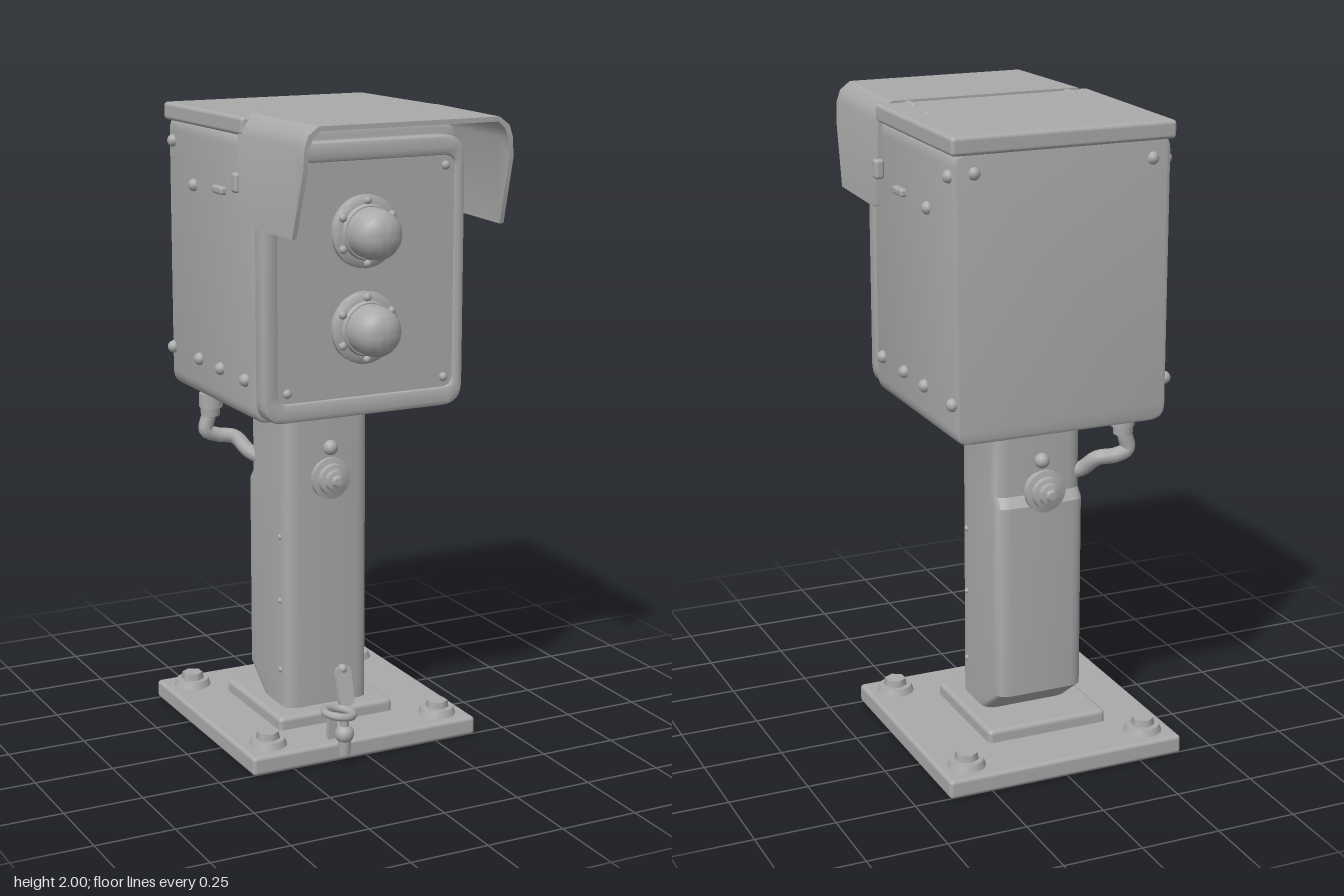
import * as THREE from 'three';
import { toCreasedNormals } from 'three/addons/utils/BufferGeometryUtils.js';
import { RoundedBoxGeometry } from 'three/addons/geometries/RoundedBoxGeometry.js';

const grey = new THREE.MeshStandardMaterial({ color: 0xaaaaaa });
grey.name = 'grey metal';

function add(parent, name, geometry, x = 0, y = 0, z = 0) {
  const mesh = new THREE.Mesh(geometry, grey);
  mesh.name = name;
  mesh.position.set(x, y, z);
  parent.add(mesh);
  return mesh;
}

// Rounded box given by its limits
function block(parent, name, [x0, x1], [y0, y1], [z0, z1], r) {
  const g = new RoundedBoxGeometry(x1 - x0, y1 - y0, z1 - z0, 3, r);
  return add(parent, name, g, (x0 + x1) / 2, (y0 + y1) / 2, (z0 + z1) / 2);
}

// Rounded rectangle path
function roundRect(path, x0, x1, y0, y1, r) {
  path.moveTo(x0 + r, y0);
  path.lineTo(x1 - r, y0);
  path.quadraticCurveTo(x1, y0, x1, y0 + r);
  path.lineTo(x1, y1 - r);
  path.quadraticCurveTo(x1, y1, x1 - r, y1);
  path.lineTo(x0 + r, y1);
  path.quadraticCurveTo(x0, y1, x0, y1 - r);
  path.lineTo(x0, y0 + r);
  path.quadraticCurveTo(x0, y0, x0 + r, y0);
  return path;
}

function extrude(shape, depth, bevel = 0) {
  const g = new THREE.ExtrudeGeometry(shape, {
    depth: depth - 2 * bevel, curveSegments: 6, bevelEnabled: bevel > 0,
    bevelSize: bevel, bevelOffset: -bevel, bevelThickness: bevel, bevelSegments: 2,
  });
  g.translate(0, 0, bevel);
  return toCreasedNormals(g, 0.7);
}

// Skin between equal closed rings (counter-clockwise seen from the last ring), capped at both ends
function loft(rings) {
  const n = rings[0].length, index = [];
  for (let i = 0; i < rings.length - 1; i++) {
    for (let j = 0; j < n; j++) {
      const a = i * n + j, b = i * n + (j + 1) % n;
      index.push(a, b, b + n, a, b + n, a + n);
    }
  }
  const flat = rings[0].map(p => new THREE.Vector2(p[3], p[4]));
  const last = (rings.length - 1) * n;
  for (const [a, b, c] of THREE.ShapeUtils.triangulateShape(flat, [])) {
    index.push(c, b, a, last + a, last + b, last + c);
  }
  const g = new THREE.BufferGeometry();
  const pos = rings.flat().flatMap(p => p.slice(0, 3));
  g.setAttribute('position', new THREE.Float32BufferAttribute(pos, 3));
  g.setIndex(index);
  return toCreasedNormals(g, 0.6);
}

// Turned part whose axis points along z
function turned(points, segments = 28) {
  const g = new THREE.LatheGeometry(points.map(p => new THREE.Vector2(...p)), segments);
  g.rotateX(Math.PI / 2);
  return toCreasedNormals(g, 0.6);
}

function buildBase(root) {
  const base = new THREE.Group();
  base.name = 'base';
  root.add(base);
  block(base, 'basePlate', [-0.39, 0.39], [0, 0.06], [-0.51, 0.26], 0.012);
  block(base, 'plinth', [-0.22, 0.18], [0.04, 0.1], [-0.32, 0.09], 0.015);
  for (const x of [-0.3, 0.3]) for (const z of [0.17, -0.42]) {
    add(base, 'washer', new THREE.CylinderGeometry(0.052, 0.06, 0.022, 20), x, 0.07, z);
    add(base, 'nut', new THREE.CylinderGeometry(0.034, 0.038, 0.025, 6), x, 0.09, z);
  }
  // Ring holder with hanging pin
  const ring = add(base, 'holderRing', new THREE.TorusGeometry(0.045, 0.013, 8, 24), -0.1, 0.16, 0.262);
  ring.rotation.set(Math.PI / 2, -0.15, 0);
  add(base, 'holderLeg', new THREE.BoxGeometry(0.03, 0.1, 0.015), -0.1, 0.105, 0.215);
  add(base, 'pinHead', new THREE.SphereGeometry(0.03, 16, 10), -0.1, 0.105, 0.3);
  add(base, 'pin', new THREE.CylinderGeometry(0.022, 0.018, 0.06, 14), -0.1, 0.068, 0.3);
  add(base, 'pinNeck', new THREE.CylinderGeometry(0.014, 0.014, 0.05, 10), -0.1, 0.14, 0.3);
  // Lever leaning on the post
  const lever = add(base, 'lever', extrude(roundRect(new THREE.Shape(), -0.027, 0.027, -0.06, 0.07, 0.024), 0.014), 0.02, 0.155, 0.06);
  lever.rotation.x = -0.25;
  add(base, 'leverPin', new THREE.SphereGeometry(0.016, 12, 8), 0.02, 0.215, 0.05);
}

function buildPost(root) {
  const post = new THREE.Group();
  post.name = 'post';
  root.add(post);
  // Each level: height, back limit
  const levels = [[0.09, -0.15], [0.18, -0.27], [0.8, -0.27], [0.83, -0.245], [1.1, -0.245]];
  const rings = levels.map(([y, back]) =>
    roundRect(new THREE.Shape(), -0.165, 0.125, -0.03, -back, 0.045).getPoints(4).slice(0, -1)
      .map(p => [p.x, y, -p.y, p.x, p.y]));
  add(post, 'postTube', loft(rings));
  // Turned knobs with a small stud, front and back
  const knob = turned([[0, -0.02], [0.05, -0.02], [0.052, 0.01], [0.066, 0.014], [0.066, 0.03],
    [0.05, 0.034], [0.048, 0.048], [0.034, 0.052], [0.032, 0.062], [0.018, 0.066], [0.014, 0.078], [0, 0.08]]);
  for (const [z, turn] of [[0.025, 0], [-0.265, Math.PI]]) {
    const s = turn ? -1 : 1;
    add(post, 'knob', knob, -0.02, 0.85, z).rotation.y = turn;
    add(post, 'stud', new THREE.SphereGeometry(0.024, 14, 10), -0.015, 0.945, z + s * 0.01);
  }
  add(post, 'backKnobStem', new THREE.CylinderGeometry(0.045, 0.045, 0.06, 18), -0.02, 0.85, -0.245).rotation.x = Math.PI / 2;
  // Small rivets up both sides
  for (const y of [0.22, 0.45, 0.66]) for (const x of [-0.163, 0.123]) {
    add(post, 'postRivet', new THREE.SphereGeometry(0.01, 8, 6), x, y, -0.02);
  }
  // Cable from the box underside into the post
  const path = new THREE.CatmullRomCurve3([[-0.27, 1.06, -0.3], [-0.28, 1.0, -0.305], [-0.288, 0.955, -0.305],
    [-0.25, 0.938, -0.3], [-0.2, 0.93, -0.28], [-0.17, 0.89, -0.24], [-0.14, 0.87, -0.21]].map(p => new THREE.Vector3(...p)));
  add(post, 'cable', new THREE.TubeGeometry(path, 36, 0.024, 10));
  add(post, 'cableGland', new THREE.CylinderGeometry(0.038, 0.038, 0.045, 16), -0.272, 1.055, -0.3);
  add(post, 'cableCollar', new THREE.CylinderGeometry(0.032, 0.03, 0.03, 16), -0.275, 1.02, -0.3);
}

function buildHousing(root) {
  const housing = new THREE.Group();
  housing.name = 'housing';
  root.add(housing);
  add(housing, 'cabinet', extrude(roundRect(new THREE.Shape(), -0.34, 0.34, 1.085, 1.95, 0.05), 0.63, 0.012), 0, 0, -0.45);
  // Door frame around a recessed panel
  const frame = roundRect(new THREE.Shape(), -0.335, 0.34, 1.09, 1.92, 0.07);
  frame.holes.push(roundRect(new THREE.Path(), -0.285, 0.305, 1.15, 1.86, 0.035));
  add(housing, 'doorFrame', extrude(frame, 0.065, 0.012), 0, 0, 0.17);
  block(housing, 'doorPanel', [-0.3, 0.315], [1.14, 1.87], [0.15, 0.225], 0.01);
  // Lid, slightly lower at the back
  const lid = block(housing, 'lid', [-0.352, 0.352], [1.935, 1.99], [-0.46, 0.13], 0.012);
  lid.rotation.x = -0.01;
  for (const x of [-0.27, 0.255]) {
    add(housing, 'lidClip', new THREE.CapsuleGeometry(0.016, 0.06, 4, 10), x, 1.983, 0.09).rotation.x = Math.PI / 2;
  }
  add(housing, 'lidRivet', new THREE.SphereGeometry(0.013, 10, 8), 0.27, 1.984, -0.085);

  // Side and back fasteners
  const rivet = new THREE.SphereGeometry(0.02, 12, 8);
  for (const s of [-1, 1]) {
    for (const z of [0.12, -0.06, -0.22, -0.43]) add(housing, 'sideRivet', rivet, s * 0.342, 1.21, z);
    for (const z of [-0.25, -0.41]) add(housing, 'sideRivet', rivet, s * 0.34, z < -0.3 ? 1.87 : 1.75, z);
    block(housing, 'sideLatch', [s * 0.345 - 0.012, s * 0.345 + 0.012], [1.748, 1.772], [-0.085, -0.01], 0.008);
    block(housing, 'hoodHinge', [s * 0.355 - 0.015, s * 0.355 + 0.015], [1.77, 1.83], [0.085, 0.12], 0.01);
    add(housing, 'backRivet', rivet, s * 0.28, 1.88, -0.445);
    for (const y of [1.18, 1.83]) add(housing, 'doorScrew', new THREE.SphereGeometry(0.014, 10, 8), s * 0.265 + 0.01, y, 0.226);
  }
}

function buildHood(root) {
  // Folded sheet: a U section that tapers forward, cut back at the lower front
  const section = (z, top, foot, low) => {
    const t = 0.014;
    const half = [[foot, low], [top, 1.94], [top - 0.012, 1.975], [top - 0.045, 2]];
    const inner = [[foot - t, low], [top - t, 1.935], [top - t - 0.012, 1.965], [top - t - 0.035, 2 - t]];
    const flip = a => a.map(([x, y]) => [-x, y]).reverse();
    return [...half, ...flip(half), ...flip(inner).reverse(), ...inner.slice().reverse()]
      .map(([x, y]) => [x, y, z, x, y]);
  };
  add(root, 'hood', loft([
    section(0.105, 0.352, 0.362, 1.69),
    section(0.14, 0.35, 0.361, 1.68),
    section(0.45, 0.338, 0.345, 1.68),
    section(0.51, 0.335, 0.338, 1.88),
  ]));
}

function buildLamps(root) {
  const flange = turned([[0, -0.01], [0.11, -0.01], [0.11, 0.012], [0.1, 0.02], [0.085, 0.022], [0.08, 0.034], [0, 0.034]], 32);
  const lens = turned([[0.076, 0.02], [0.077, 0.07], [0.073, 0.1], [0.06, 0.124], [0.038, 0.138], [0.016, 0.143], [0, 0.144]], 32);
  for (const y of [1.65, 1.36]) {
    const lamp = new THREE.Group();
    lamp.name = 'lamp';
    lamp.position.set(0, y, 0.228);
    root.add(lamp);
    add(lamp, 'lampFlange', flange);
    add(lamp, 'lampLens', lens);
    for (let i = 0; i < 6; i++) {
      const a = (i + 0.5) * Math.PI / 3;
      add(lamp, 'lampScrew', new THREE.SphereGeometry(0.013, 10, 8), 0.094 * Math.cos(a), 0.094 * Math.sin(a), 0.02);
    }
  }
}

export function createModel() {
  const root = new THREE.Group();
  root.name = 'signalPost';
  buildBase(root);
  buildPost(root);
  buildHousing(root);
  buildHood(root);
  buildLamps(root);
  return root;
}
